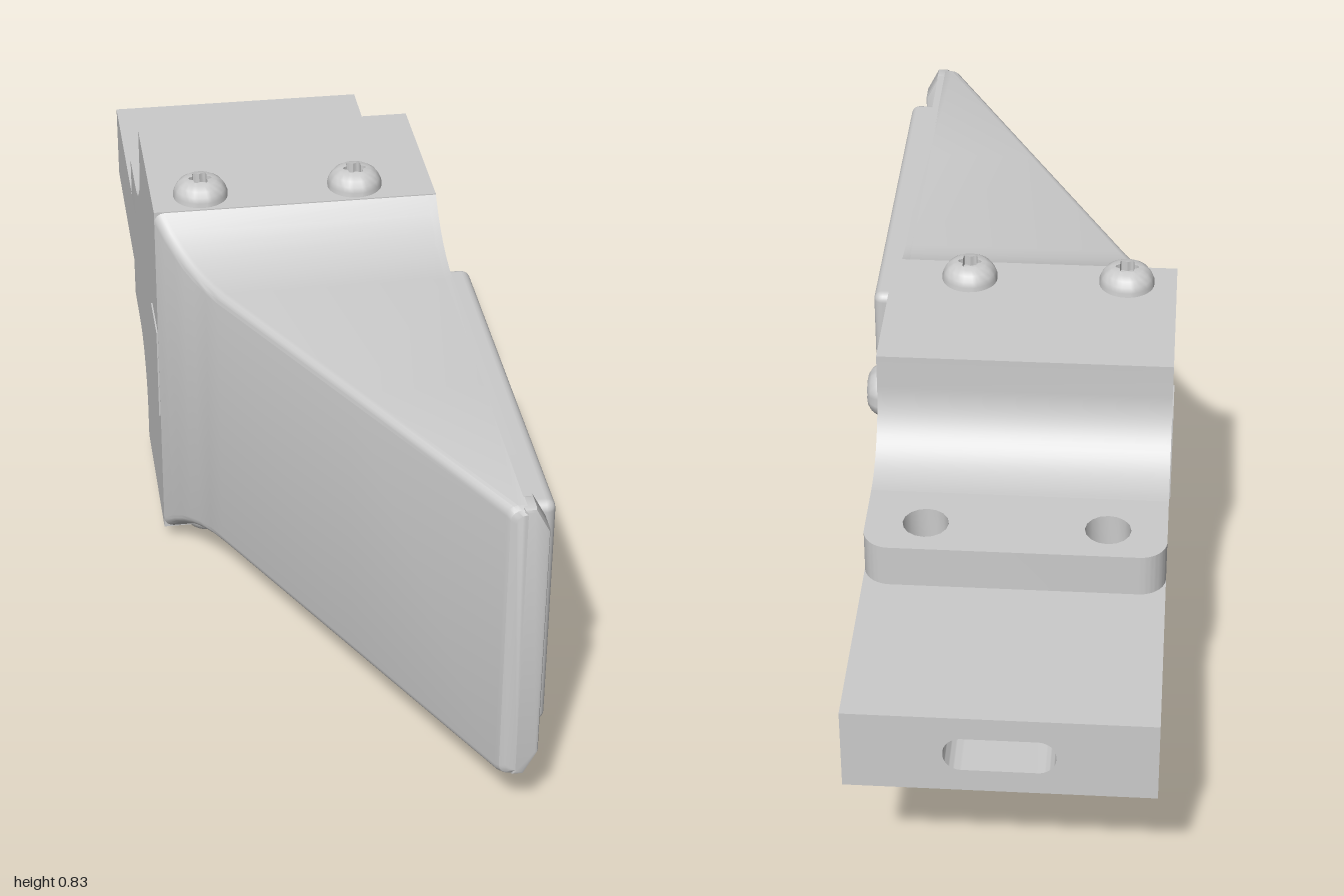
import * as THREE from 'three';
import { toCreasedNormals } from 'three/addons/utils/BufferGeometryUtils.js';
import { RoundedBoxGeometry } from 'three/addons/geometries/RoundedBoxGeometry.js';

const grey = new THREE.MeshStandardMaterial({ color: 0xcccccc });
const CY = 0.417; // height of the symmetry plane
const X0 = -0.31, X1 = 0.25; // body width

export function createModel() {
  const root = new THREE.Group();
  const add = (name, geo, crease = 0.5) => {
    const m = new THREE.Mesh(crease ? toCreasedNormals(geo, crease) : geo, grey);
    m.name = name;
    root.add(m);
    return m;
  };
  const extrude = (shape, depth, extra = {}) =>
    new THREE.ExtrudeGeometry(shape, { depth, bevelEnabled: false, curveSegments: 8, ...extra });
  // shape drawn in (-z, y), extruded from x = from to x = to
  const alongX = (shape, from, to) => extrude(shape, to - from).rotateY(Math.PI / 2).translate(from, 0, 0);
  const box = (name, x0, x1, y0, y1, z0, z1) =>
    add(name, new THREE.BoxGeometry(x1 - x0, y1 - y0, z1 - z0)
      .translate((x0 + x1) / 2, (y0 + y1) / 2, (z0 + z1) / 2), 0);
  const rounded = (P, x0, y0, x1, y1, r) => {
    const p = new P();
    p.moveTo(x0 + r, y0).lineTo(x1 - r, y0).absarc(x1 - r, y0 + r, r, -Math.PI / 2, 0);
    p.lineTo(x1, y1 - r).absarc(x1 - r, y1 - r, r, 0, Math.PI / 2);
    p.lineTo(x0 + r, y1).absarc(x0 + r, y1 - r, r, Math.PI / 2, Math.PI);
    p.lineTo(x0, y0 + r).absarc(x0 + r, y0 + r, r, Math.PI, Math.PI * 1.5);
    return p;
  };

  // main block with concave shoulders towards the neck
  const H = 0.377, N = 0.168, R = 0.14;
  const block = new THREE.Shape();
  block.moveTo(-0.03, CY - H).lineTo(0.32, CY - H).lineTo(0.32, CY - N - R);
  block.absarc(0.46, CY - N - R, R, Math.PI, Math.PI / 2, true);
  block.lineTo(0.46, CY + N);
  block.absarc(0.46, CY + N + R, R, Math.PI * 1.5, Math.PI, true);
  block.lineTo(0.32, CY + H).lineTo(-0.03, CY + H);
  add('mainBlock', alongX(block, X0, X1));

  // neck slabs above and below the tongue, the upper one with bolt holes
  for (const top of [true, false]) {
    const s = new THREE.Shape();
    const r = 0.05, e = 0.635;
    s.moveTo(X0, 0.46).lineTo(X1, 0.46).lineTo(X1, e - r);
    s.absarc(X1 - r, e - r, r, 0, Math.PI / 2);
    s.lineTo(X0 + r, e).absarc(X0 + r, e - r, r, Math.PI / 2, Math.PI);
    if (top) for (const x of [-0.2, 0.138])
      s.holes.push(new THREE.Path().absarc(x, 0.555, 0.043, 0, Math.PI * 2));
    const g = extrude(s, N - 0.083).rotateX(-Math.PI / 2);
    add(top ? 'upperNeckSlab' : 'lowerNeckSlab', g.translate(0, top ? CY + 0.083 : CY - N, 0));
  }

  // tongue with a rounded slot in its end
  const tongue = new THREE.Shape([[X0, CY - 0.083], [X1, CY - 0.083], [X1, CY + 0.083], [X0, CY + 0.083]]
    .map(p => new THREE.Vector2(...p)));
  tongue.holes.push(rounded(THREE.Path, -0.13, CY - 0.036, 0.07, CY + 0.036, 0.033));
  add('tongue', extrude(tongue, 0.54).translate(0, 0, -1));

  // wedge nose, lofted from cross-sections along z
  const halfHeight = z => {
    const d = Math.max(0, 0.22 - z), k = 0.266;
    return 0.295 + k - Math.sqrt(k * k - d * d);
  };
  const XR = 0.236;
  const stations = [0.03, 0.06, 0.09, 0.12, 0.15, 0.185, 0.22, 0.6, 0.985, 0.995, 1];
  const pos = [], idx = [];
  const ringSize = 12;
  stations.forEach((z, i) => {
    const xl = X0 + (Math.min(z, 0.985) - 0.03) * 0.534 + [0, 0.006, 0.016][Math.max(0, i - 8)];
    const h = halfHeight(z) - [0, 0.004, 0.012][Math.max(0, i - 8)];
    const r = Math.min(0.02, (XR - xl) * 0.8);
    pos.push(XR, CY - h, z, XR, CY + h, z);
    for (const side of [1, -1]) for (let k = 0; k < 5; k++) {
      const a = (side > 0 ? k : 4 - k) * Math.PI / 8;
      pos.push(xl + r - r * Math.sin(a), CY + side * (h - r + r * Math.cos(a)), z);
    }
    for (let j = 0; j < ringSize && i; j++) {
      const a = (i - 1) * ringSize + j, b = (i - 1) * ringSize + (j + 1) % ringSize;
      idx.push(a, b, b + ringSize, a, b + ringSize, a + ringSize);
    }
  });
  const last = (stations.length - 1) * ringSize;
  for (let j = 1; j < ringSize - 1; j++) idx.push(last, last + j, last + j + 1);
  const nose = new THREE.BufferGeometry();
  nose.setAttribute('position', new THREE.Float32BufferAttribute(pos, 3));
  nose.setIndex(idx);
  add('nose', nose.toNonIndexed());

  // rim around the shallow recess on the nose side
  const edge = [0.03, 0.06, 0.09, 0.12, 0.15, 0.185, 0.22, 0.96];
  const rim = new THREE.Shape([
    ...edge.map(z => new THREE.Vector2(-z, CY + halfHeight(z))),
    ...edge.slice().reverse().map(z => new THREE.Vector2(-z, CY - halfHeight(z))),
  ]);
  rim.holes.push(rounded(THREE.Path, -0.945, CY - 0.265, -0.045, CY + 0.265, 0.015));
  add('recessRim', alongX(rim, XR - 0.002, X1));

  // chamfered lip at the tip
  const lip = new THREE.Shape([[0.236, -0.287], [0.247, -0.287], [0.27, -0.243], [0.27, 0.243], [0.247, 0.287], [0.236, 0.287]]
    .map(([x, y]) => new THREE.Vector2(x, CY + y)));
  add('tipLip', extrude(lip, 0.042, { bevelEnabled: true, bevelSize: 0.007, bevelThickness: 0.007, bevelSegments: 2 })
    .translate(0, 0, 0.951));

  // raised pad
  add('sidePad', new RoundedBoxGeometry(0.075, 0.49, 0.82, 3, 0.018).translate(0.2685, CY, 0.51), 0);

  // bracket plate, its tab, screw seats and corner blocks
  box('bracketPlate', 0.24, 0.254, CY - 0.28, CY + 0.28, -0.21, 0.045);
  add('bracketTab', alongX(rounded(THREE.Shape, 0.18, CY - 0.112, 0.228, CY + 0.112, 0.012), 0.24, 0.262));
  for (const s of [1, -1]) {
    const y = CY + s * 0.18;
    add('screwSeat', alongX(rounded(THREE.Shape, 0.045, y - 0.07, 0.19, y + 0.07, 0.012), 0.24, 0.258));
    const yc = CY + s * 0.19;
    box('cornerBlock', 0.24, 0.258, yc - 0.085, yc + 0.085, -0.04, 0.04);
  }

  // thin plate on the opposite side
  box('sideInsert', X0 - 0.003, X0 + 0.01, CY - 0.1, CY + 0.1, -0.09, 0.028);

  // dome-head screws with six-lobed sockets
  const profile = [[0.0001, 0.016], [0.022, 0.016], [0.022, 0.037], [0.032, 0.035],
    [0.043, 0.028], [0.05, 0.018], [0.054, 0.008], [0.054, -0.008]].reverse();
  const screwGeo = new THREE.LatheGeometry(profile.map(p => new THREE.Vector2(...p)), 36);
  const sp = screwGeo.attributes.position;
  for (let i = 0; i < sp.count; i++) {
    const x = sp.getX(i), z = sp.getZ(i);
    if (Math.hypot(x, z) > 0.025) continue;
    const f = 0.9 + 0.16 * Math.cos(6 * Math.atan2(z, x));
    sp.setX(i, x * f);
    sp.setZ(i, z * f);
  }
  for (const s of [1, -1]) {
    for (const x of [-0.212, 0.096]) {
      const m = add(s > 0 ? 'topScrew' : 'bottomScrew', screwGeo, 0.6);
      m.position.set(x, CY + s * (H + 0.001), -0.03);
      if (s < 0) m.rotation.x = Math.PI;
    }
    const m = add('sideScrew', screwGeo, 0.6);
    m.position.set(0.256, CY + s * 0.17, -0.127);
    m.rotation.z = -Math.PI / 2;
  }
  return root;
}
